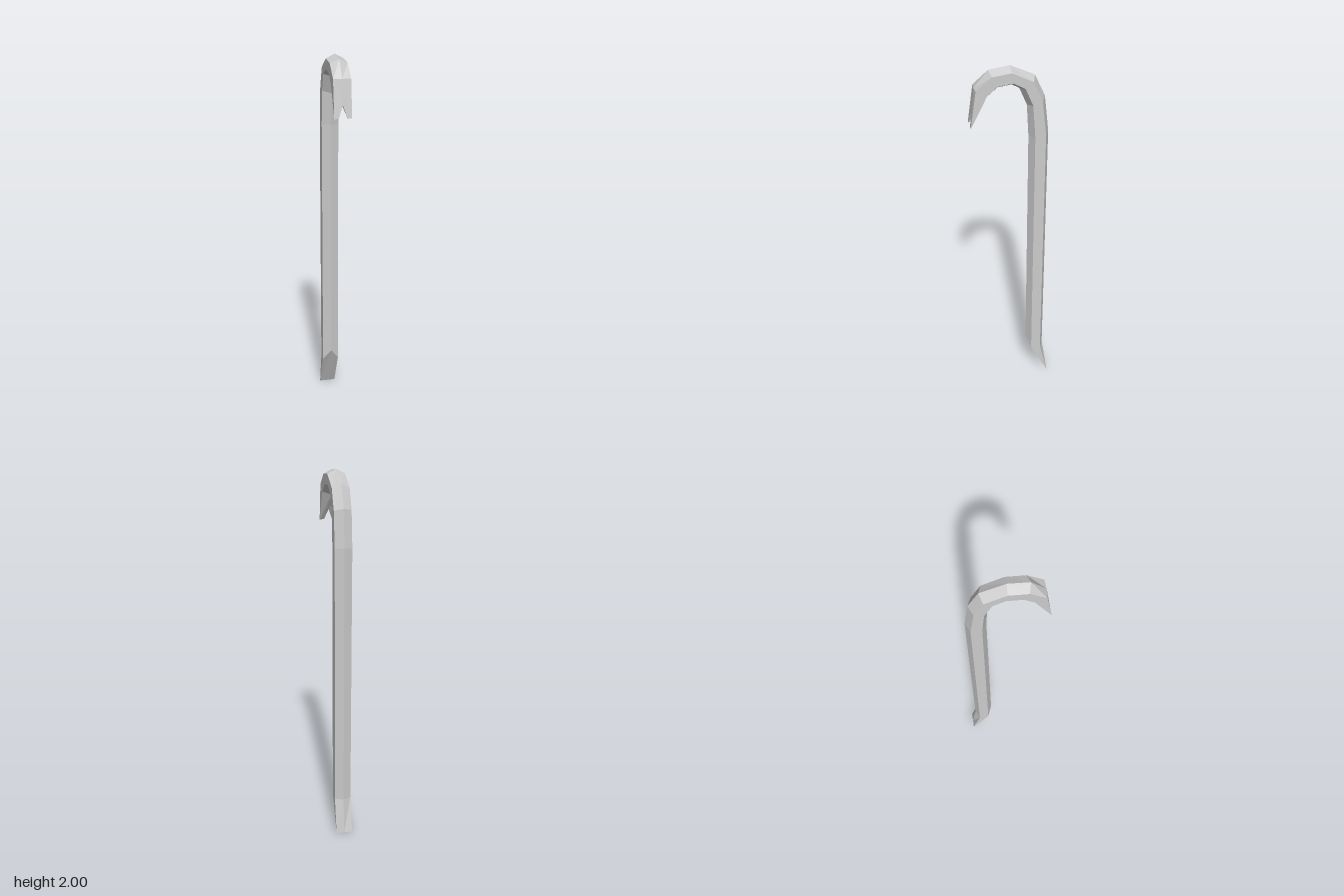
import * as THREE from 'three';

const W = 0.045; // half width of the hexagonal bar

// Stations as [z, y] pairs: outer ridge, outer edge, inner edge, inner ridge
const tip = [-0.212, 0];
const foot = [tip, tip, tip, tip];
const heel = [[-0.187, 0.2], [-0.165, 0.2], [-0.11, 0.21], [-0.085, 0.275]];
const shoulder = [[-0.187, 1.64], [-0.165, 1.633], [-0.11, 1.625], [-0.085, 1.62]];
const hook = [
  shoulder,
  [[-0.165, 1.83], [-0.144, 1.82], [-0.097, 1.8], [-0.075, 1.79]],
  [[-0.113, 1.943], [-0.098, 1.923], [-0.058, 1.892], [-0.037, 1.88]],
  [[0.01, 2.0], [0.008, 1.977], [0.002, 1.925], [0, 1.902]],
  [[0.115, 1.985], [0.104, 1.965], [0.078, 1.915], [0.07, 1.893]],
  [[0.187, 1.9], [0.184, 1.9], [0.13, 1.87], [0.12, 1.855]],
];

const point = (x, [z, y]) => new THREE.Vector3(x, y, z);

// Six corners of the bar at one station
const ring = ([O, o, i, I]) => [
  point(0, O), point(W, o), point(W, i), point(0, I), point(-W, i), point(-W, o),
];

// Fan each polygon into triangles, dropping collapsed ones
function facetMesh(name, polygons, material) {
  const points = [];
  for (const p of polygons) {
    for (let k = 1; k < p.length - 1; k++) {
      const t = new THREE.Triangle(p[0], p[k], p[k + 1]);
      if (t.getArea() > 1e-8) points.push(t.a, t.b, t.c);
    }
  }
  const geometry = new THREE.BufferGeometry().setFromPoints(points);
  geometry.computeVertexNormals();
  const mesh = new THREE.Mesh(geometry, material);
  mesh.name = name;
  return mesh;
}

// Skin between successive stations
function loft(stations) {
  const rings = stations.map(ring);
  const polygons = [];
  for (let s = 0; s < rings.length - 1; s++) {
    const a = rings[s], b = rings[s + 1];
    for (let j = 0; j < 6; j++) {
      const n = (j + 1) % 6;
      polygons.push([a[n], a[j], b[j], b[n]]);
    }
  }
  return polygons;
}

// One tapering prong of the split claw; side is +1 or -1
function prong(side) {
  const [O, o, i, I] = hook[hook.length - 1];
  const ridgeOut = point(0, O), edgeOut = point(side * W, o);
  const edgeIn = point(side * W, i), ridgeIn = point(0, I);
  const notchOut = point(0, [0.203, 1.775]), notchIn = point(0, [0.175, 1.775]);
  const tipInner = point(side * 0.022, [0.212, 1.71]);
  const tipOuter = point(side * W, [0.212, 1.71]);
  const polygons = [
    [ridgeOut, notchOut, tipInner, tipOuter, edgeOut],
    [ridgeIn, edgeIn, tipOuter, tipInner, notchIn],
    [edgeOut, tipOuter, edgeIn],
    [notchOut, notchIn, tipInner],
  ];
  return side > 0 ? polygons : polygons.map((p) => p.reverse());
}

export function createModel() {
  const group = new THREE.Group();
  group.name = 'pryBar';
  const steel = new THREE.MeshStandardMaterial({ color: 0xcccccc, flatShading: true });
  group.add(
    facetMesh('chiselFoot', loft([foot, heel]), steel),
    facetMesh('shaft', loft([heel, shoulder]), steel),
    facetMesh('hook', loft(hook), steel),
    facetMesh('leftProng', prong(1), steel),
    facetMesh('rightProng', prong(-1), steel),
  );
  return group;
}
